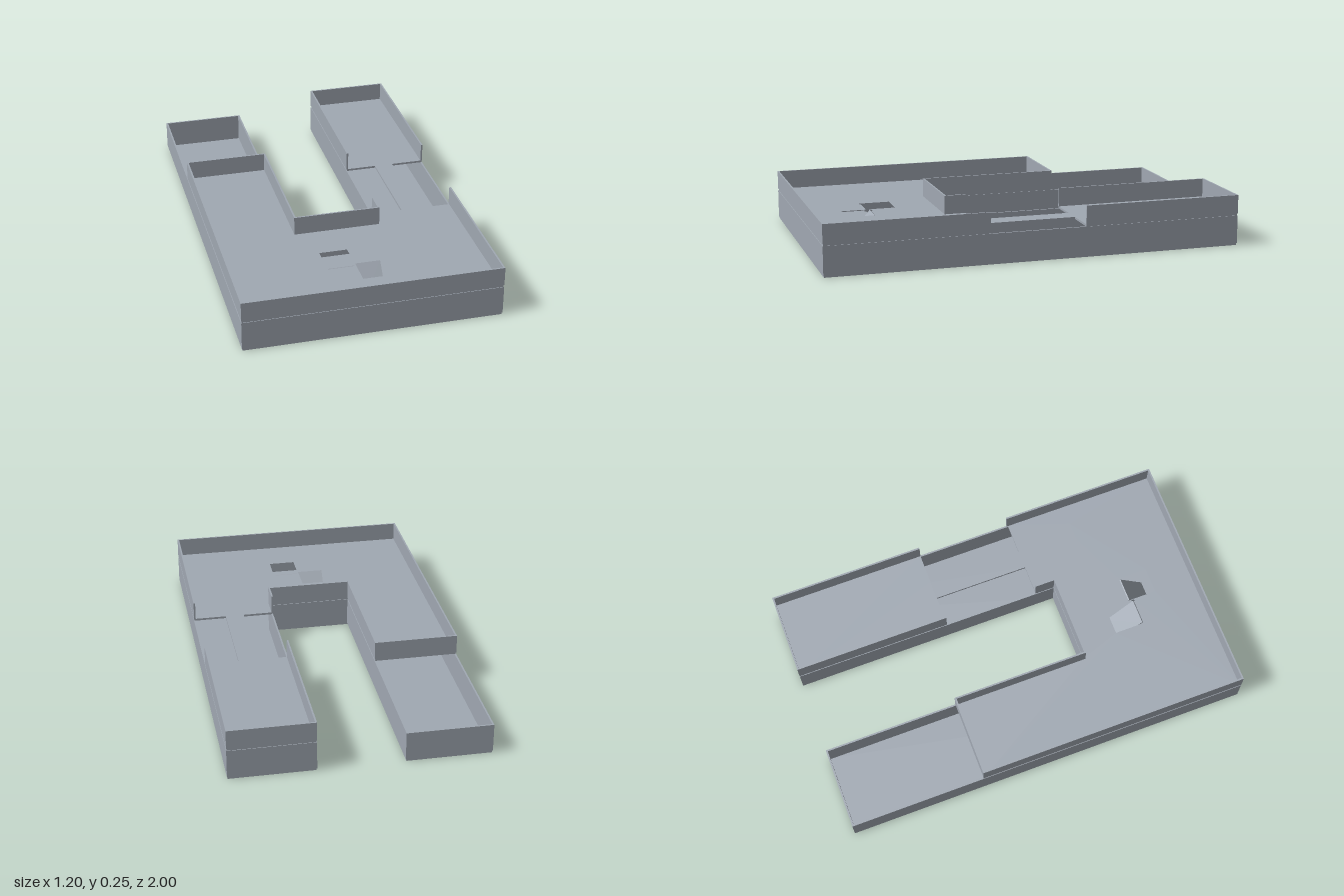
import * as THREE from 'three';

const WALL = 0.008;       // wall thickness
const BASE_TOP = 0.01;    // ground floor level
const SLAB_LOW = 0.145;   // underside of upper floor
const SLAB_TOP = 0.155;   // upper floor level
const TOP = 0.245;        // top of the upper walls

export function createModel() {
  const model = new THREE.Group();
  model.name = 'building';
  const grey = new THREE.MeshStandardMaterial({ color: 0xa1a9b3 });
  grey.name = 'blue grey';

  const add = (parent, geometry, name) => {
    const mesh = new THREE.Mesh(geometry, grey);
    mesh.name = name;
    parent.add(mesh);
    return mesh;
  };

  // Floor plate from a plan outline of [x, z] points, with rectangular openings
  const floor = (name, outline, top, depth, holes = []) => {
    const points = (list) => list.map(([x, z]) => new THREE.Vector2(x, z));
    const shape = new THREE.Shape(points(outline));
    for (const [x0, z0, x1, z1] of holes) {
      shape.holes.push(new THREE.Path(points([[x0, z0], [x0, z1], [x1, z1], [x1, z0]])));
    }
    const geometry = new THREE.ExtrudeGeometry(shape, { depth, bevelEnabled: false });
    geometry.rotateX(Math.PI / 2).translate(0, top, 0);
    add(model, geometry, name);
  };

  // Straight walls following a plan path of wall centrelines
  const walls = (name, path, y0, y1) => {
    const group = new THREE.Group();
    group.name = name;
    model.add(group);
    for (let i = 0; i < path.length - 1; i++) {
      const [xa, za] = path[i], [xb, zb] = path[i + 1];
      const geometry = new THREE.BoxGeometry(
        Math.abs(xb - xa) + WALL, y1 - y0, Math.abs(zb - za) + WALL);
      geometry.translate((xa + xb) / 2, (y0 + y1) / 2, (za + zb) / 2);
      add(group, geometry, 'wall');
    }
  };

  // Floors, set back slightly from the wall faces
  const o = 0.597, i = 0.203, e = 0.997, c = 0.333;
  floor('groundFloor', [
    [-o, e], [o, e], [o, -e], [i, -e], [i, c], [-i, c], [-i, -e], [-o, -e],
  ], BASE_TOP, BASE_TOP);
  floor('upperFloor', [
    [-o, e], [o, e], [o, 0.235], [0.44, 0.235], [0.44, -0.235], [o, -0.235],
    [o, -e], [i, -e], [i, -0.235], [0.35, -0.235], [0.35, 0.235], [i, 0.235],
    [i, c], [-i, c], [-i, -0.333], [-o, -0.333],
  ], SLAB_TOP, SLAB_TOP - SLAB_LOW, [
    [-0.135, 0.53, -0.002, 0.68], [0.002, 0.65, 0.13, 0.795], [0.41, 0.43, 0.495, 0.53],
  ]);

  // Ground storey walls run all the way round
  const O = 0.596, I = 0.204, E = 0.996, C = 0.334, G = 0.231;
  walls('groundWalls', [
    [-O, E], [O, E], [O, -E], [I, -E], [I, C], [-I, C], [-I, -E], [-O, -E], [-O, E],
  ], BASE_TOP, SLAB_LOW);

  // Upper storey walls: main part, and the far end of the left wing beyond the gap
  walls('upperMainWalls', [
    [O, G], [O, E], [-O, E], [-O, -0.334], [-I, -0.334], [-I, C], [I, C], [I, G + 0.006],
  ], SLAB_TOP, TOP);
  walls('upperWingWalls', [[O, -0.239], [O, -E], [I, -E], [I, -0.239]], SLAB_TOP, TOP);

  // Wall strips that close the floor joint, set back as a shadow line
  walls('jointStrip', [
    [O - 0.003, 0.24], [O - 0.003, E - 0.003], [-O + 0.003, E - 0.003], [-O + 0.003, -0.33],
  ], SLAB_LOW, SLAB_TOP);

  // Two sloping stair flights, from the ground floor up to the upper floor
  const ramp = (name, x, width, zLow, zHigh) => {
    const dy = SLAB_TOP - BASE_TOP, dz = zHigh - zLow;
    const flight = add(model, new THREE.BoxGeometry(width, 0.006, Math.hypot(dy, dz)), name);
    flight.position.set(x, (SLAB_TOP + BASE_TOP) / 2 - 0.003, (zLow + zHigh) / 2);
    flight.rotation.x = -Math.atan2(dy, dz);
  };
  ramp('rightStair', -0.067, 0.122, 0.54, 0.675);
  ramp('leftStair', 0.063, 0.116, 0.78, 0.655);

  return model;
}
